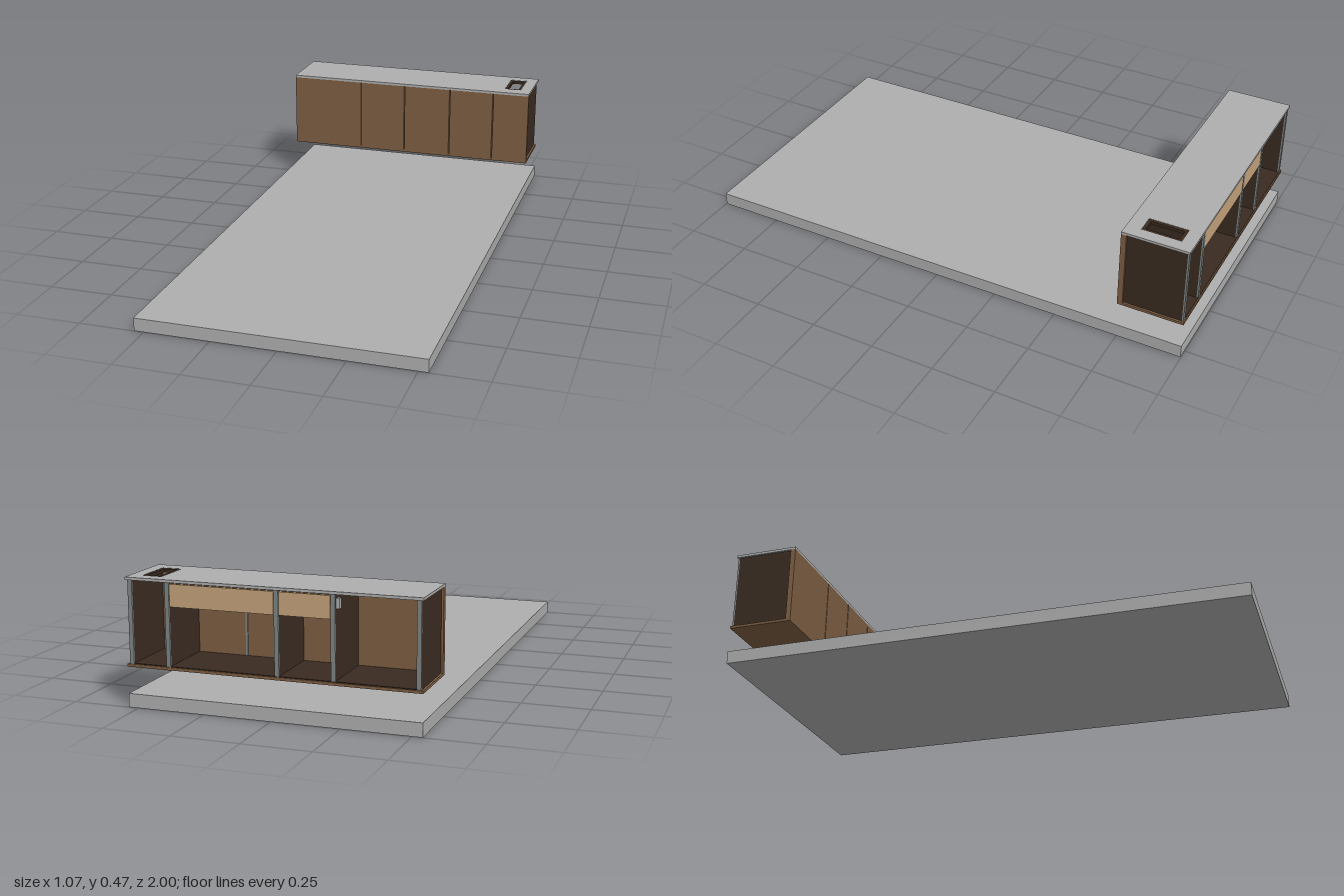
import * as THREE from 'three';

export function createModel() {
  const model = new THREE.Group();
  const mat = (name, color) => Object.assign(new THREE.MeshStandardMaterial({ color }), { name });
  const stone = mat('grey stone', 0xaeaeae);
  const wood = mat('brown wood', 0x7d5e43);
  const dark = mat('dark brown board', 0x3a2b21);
  const tan = mat('light tan wood', 0xc4a27a);
  const steel = mat('grey steel', 0x7d8484);

  // Box given by its minimum and maximum on each axis
  function box(name, material, x0, x1, y0, y1, z0, z1, parent = model) {
    const mesh = new THREE.Mesh(new THREE.BoxGeometry(x1 - x0, y1 - y0, z1 - z0), material);
    mesh.position.set((x0 + x1) / 2, (y0 + y1) / 2, (z0 + z1) / 2);
    mesh.name = name;
    parent.add(mesh);
    return mesh;
  }

  // Horizontal rectangular plate with a rectangular hole
  function holedPlate(name, material, outer, inner, y, thick) {
    const corners = ([x0, x1, z0, z1]) => [[x0, -z1], [x1, -z1], [x1, -z0], [x0, -z0]].map(p => new THREE.Vector2(...p));
    const shape = new THREE.Shape(corners(outer));
    shape.holes.push(new THREE.Path(corners(inner).reverse()));
    const geometry = new THREE.ExtrudeGeometry(shape, { depth: thick, bevelEnabled: false });
    geometry.rotateX(-Math.PI / 2);
    const mesh = new THREE.Mesh(geometry, material);
    mesh.position.y = y;
    mesh.name = name;
    model.add(mesh);
  }

  const W = 0.537, back = -0.998, front = -0.745, panelBack = -0.765;
  const low = 0.157, high = 0.455;

  // Floor slab
  box('floorSlab', stone, -W, W, 0, 0.05, -0.998, 0.998);

  // Worktop with a waste opening and its rim
  const opening = [0.42, 0.492, -0.95, -0.8];
  holedPlate('worktop', stone, [-W, W, back, front], opening, high, 0.01);
  holedPlate('openingRim', dark, opening, [0.432, 0.48, -0.937, -0.813], 0.452, 0.012);

  // Base board with a dark inner floor
  box('baseBoard', wood, -W, W, 0.147, low, back, front);
  box('innerFloor', dark, -0.52, 0.52, low, low + 0.003, back + 0.004, panelBack);

  // Front panels, separated by narrow gaps
  const seams = [-W, -0.225, -0.023, 0.185, 0.38, W];
  const gap = 0.002;
  for (let i = 0; i < 5; i++) {
    const x0 = seams[i] + (i ? gap : 0), x1 = seams[i + 1] - (i < 4 ? gap : 0);
    box('frontPanel', wood, x0, x1, low, high, panelBack, front);
  }
  box('seamStrip', steel, 0.181, 0.189, low, high, panelBack - 0.004, panelBack);

  // End walls and dividers, each with a steel strip along the open back
  const uprights = [[-0.521, 'endWall'], [-0.225, 'divider'], [-0.023, 'divider'], [0.38, 'divider'], [0.521, 'endWall']];
  for (const [x, name] of uprights) {
    box(name, dark, x - 0.008, x + 0.008, low, high, back + 0.01, panelBack);
    box('backStrip', steel, x - 0.008, x + 0.008, low, high, back + 0.004, back + 0.01);
  }
  box('seamStrip', steel, -0.229, -0.221, low, high, panelBack, panelBack + 0.004);

  // Drawers opening to the back
  for (const [x0, x1] of [[-0.215, -0.033], [-0.013, 0.37]]) {
    const drawer = new THREE.Group();
    drawer.name = 'drawer';
    box('drawerFront', tan, x0, x1, 0.37, 0.45, back + 0.005, back + 0.017, drawer);
    box('drawerBody', dark, x0 + 0.006, x1 - 0.006, 0.378, 0.445, back + 0.017, -0.79, drawer);
    model.add(drawer);
  }

  // Small fitting on the divider of the open bay
  box('wallFitting', stone, -0.245, -0.233, 0.405, 0.44, -0.985, -0.965);

  return model;
}
